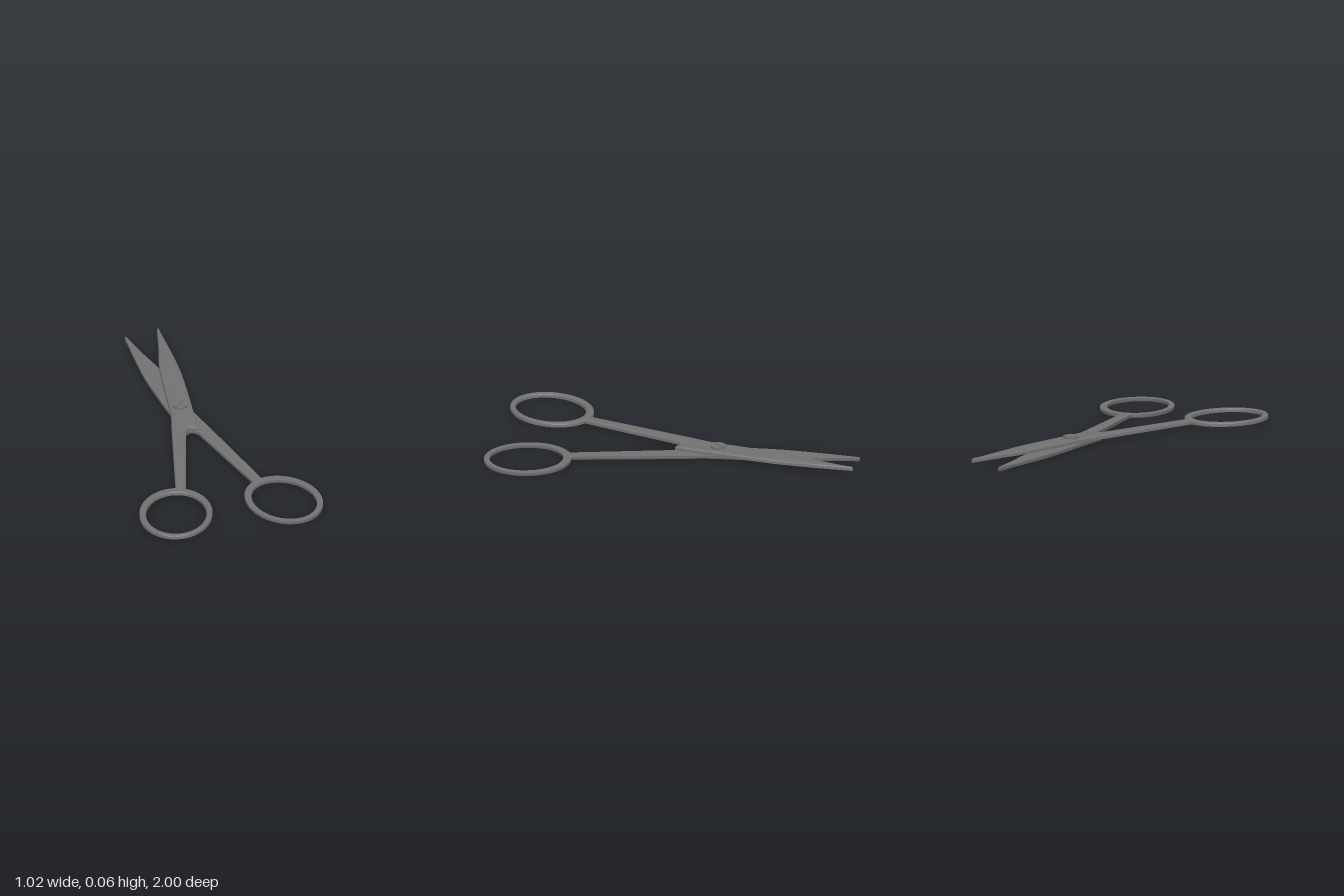
import * as THREE from 'three';
import { toCreasedNormals } from 'three/addons/utils/BufferGeometryUtils.js';

const material = new THREE.MeshStandardMaterial({ color: 0x727272, side: THREE.DoubleSide });
const THICK = 0.022;
const PIVOT_Z = -0.23;

// Smooth points through a few [x, -z] pairs
const curve = (pts, n) =>
  new THREE.SplineCurve(pts.map(([x, y]) => new THREE.Vector2(x, y))).getPoints(n);

// Blade, shank and finger ring as one outline; flat inner face at y = 0
function halfGeometry() {
  const tilt = THREE.MathUtils.degToRad(70);
  const innerEdge = curve([[0.088, 1], [0.073, 0.94], [0.04, 0.8], [0, 0.65], [-0.036, 0.42],
    [-0.062, 0.21], [-0.078, 0.13], [-0.095, 0.07]], 36);
  const ring = new THREE.EllipseCurve(-0.305, -0.765, 0.239, 0.199, 0.1, Math.PI * 2 - 0.19, false, tilt)
    .getPoints(72);
  const heel = curve([[-0.035, -0.012], [-0.022, 0.002], [0, 0.015], [0.02, 0.004], [0.035, -0.004]], 12);
  const outerEdge = curve([[0.046, 0.03], [0.062, 0.2], [0.08, 0.36], [0.099, 0.58], [0.1, 0.82],
    [0.095, 0.995]], 30);
  const shape = new THREE.Shape([...innerEdge, ...ring, ...heel, ...outerEdge]);

  // Finger hole, set a little towards the far end of the ring
  const hole = new THREE.EllipseCurve(-0.305, -0.772, 0.202, 0.165, 0, Math.PI * 2, true, tilt).getPoints(72);
  shape.holes.push(new THREE.Path(hole.slice(0, -1)));

  const bevel = 0.007;
  const g = new THREE.ExtrudeGeometry(shape, {
    depth: THICK - bevel, bevelThickness: bevel, bevelSize: 0.01, bevelOffset: -0.01, bevelSegments: 4,
  });
  g.rotateX(-Math.PI / 2);
  // Flatten the lower bevel: only the outer face is rounded
  const p = g.attributes.position;
  for (let i = 0; i < p.count; i++) p.setY(i, Math.max(0, p.getY(i)));
  return toCreasedNormals(g, 0.7);
}

// Pin and slotted screw head
function createScrew() {
  const screw = new THREE.Group();
  screw.name = 'pivotScrew';
  const add = (name, geometry, y) => {
    const m = new THREE.Mesh(geometry, material);
    m.name = name;
    m.position.y = y;
    screw.add(m);
    return m;
  };
  add('pivotPin', new THREE.CylinderGeometry(0.03, 0.03, 0.044, 32), 0.025);
  add('screwHeadBase', new THREE.CylinderGeometry(0.04, 0.04, 0.01, 40), 0.05);

  // Two half discs leave the slot open between them
  const a = Math.asin(0.005 / 0.04);
  const half = new THREE.Shape();
  half.absarc(0, 0, 0.04, a, Math.PI - a, false);
  half.closePath();
  const disc = new THREE.ExtrudeGeometry(half, { depth: 0.005, bevelEnabled: false, curveSegments: 24 });
  disc.rotateX(-Math.PI / 2);
  const g = toCreasedNormals(disc, 0.5);
  for (let i = 0; i < 2; i++) {
    add('screwHeadHalf', g, 0.055).rotation.y = Math.PI * (0.25 + i);
  }
  screw.position.z = PIVOT_Z;
  return screw;
}

export function createModel() {
  const model = new THREE.Group();
  model.name = 'scissors';
  const geometry = halfGeometry();

  const upper = new THREE.Mesh(geometry, material);
  upper.name = 'upperHalf';
  upper.position.y = 0.025;

  // The lower half is the same piece turned over
  const lower = new THREE.Mesh(geometry, material);
  lower.name = 'lowerHalf';
  lower.rotation.z = Math.PI;
  lower.position.y = THICK;

  model.add(upper, lower, createScrew());
  return model;
}
